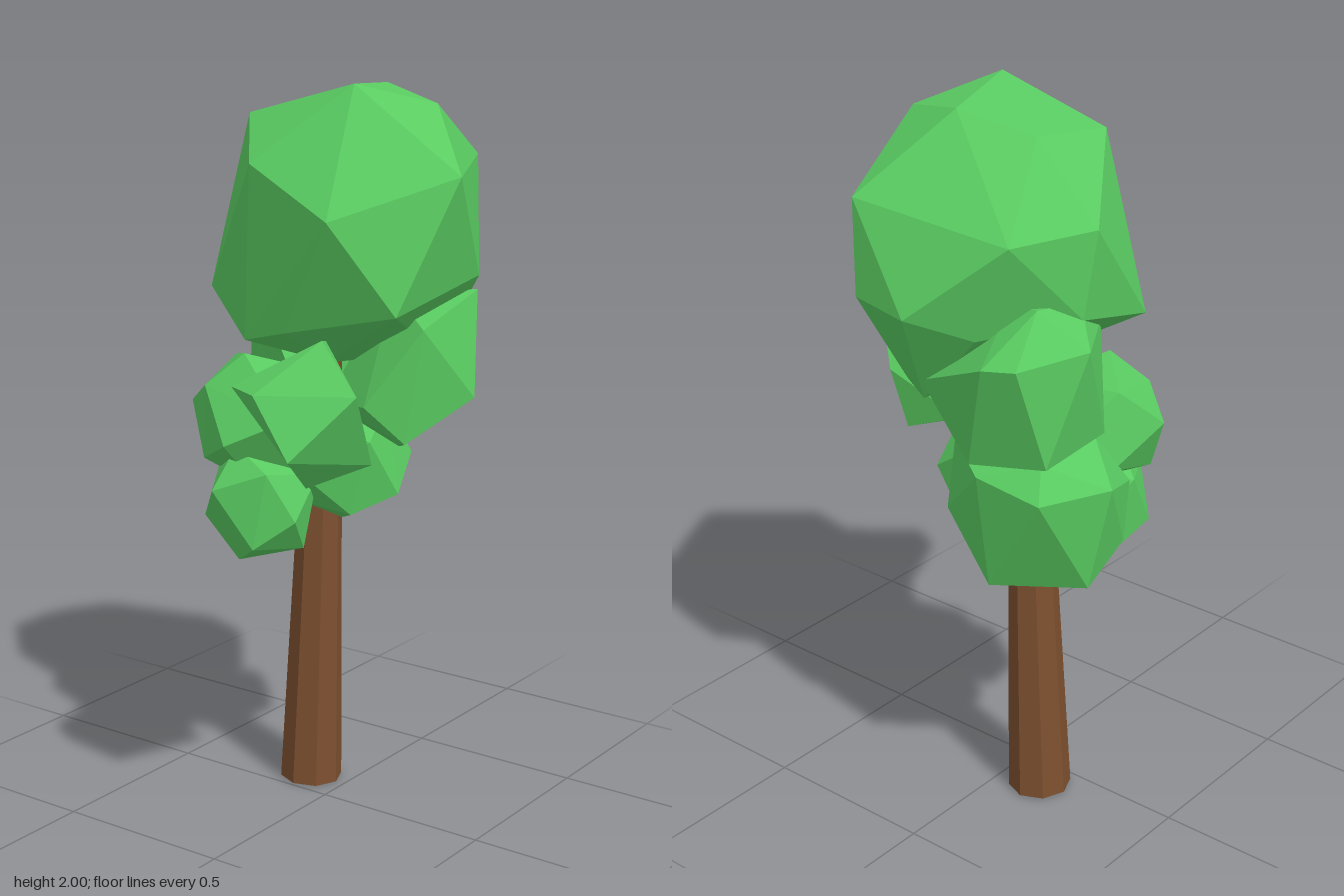
import * as THREE from 'three';
import { ConvexGeometry } from 'three/addons/geometries/ConvexGeometry.js';

const leafMat = new THREE.MeshStandardMaterial({ color: 0x59cb61, flatShading: true });
const barkMat = new THREE.MeshStandardMaterial({ color: 0x7d5030, flatShading: true });

// Corners of the large crown, from the top ring down
const crown = [
  [-0.06, 1.91, -0.2], [0.165, 1.93, -0.16], [0.23, 1.98, 0.04], [-0.055, 2, 0.13], [0.165, 1.94, 0.24],
  [-0.22, 1.8, -0.08], [-0.275, 1.68, 0.2], [0, 1.78, 0.42], [0.45, 1.78, 0.19], [0.37, 1.72, -0.24],
  [0.15, 1.73, -0.34], [-0.08, 1.44, -0.32], [0.5, 1.52, -0.01], [0.47, 1.53, 0.17], [0.19, 1.5, 0.36],
  [-0.17, 1.44, 0.34], [-0.21, 1.37, 0.02], [0.38, 1.46, -0.14], [0.18, 1.5, -0.32],
  [0.36, 1.25, 0.05], [0.29, 1.25, 0.17], [-0.18, 1.33, -0.13], [-0.05, 1.27, 0.05],
];

// Corners of the clump below the front of the crown
const frontLeaves = [
  [0.08, 1.2, 0.42], [0.2, 1.46, 0.35], [-0.09, 1.4, 0.37], [-0.18, 1.2, 0.25], [-0.11, 1.1, 0.33],
  [0.06, 1.04, 0.2], [0.26, 1.09, 0.2], [0.28, 1.25, 0.24], [0.25, 1.16, 0.03], [0, 1.15, 0], [0.1, 1.45, 0.15],
];

// Corners of the clump at the end of the branch
const branchLeaves = [
  [-0.34, 1.4, 0.235], [-0.505, 1.28, 0.145], [-0.34, 1.27, 0.34], [-0.455, 1.28, 0.04], [-0.26, 1.38, 0.19],
  [-0.285, 1.25, -0.025], [-0.17, 1.29, 0.13], [-0.2, 1.06, 0.29], [-0.49, 1.12, 0.24], [-0.36, 1.02, 0.2],
  [-0.25, 1.06, 0.1],
];

// Corners of the two clumps at the back
const backLeaves = [
  [0.235, 1.45, -0.385], [0.43, 1.44, -0.31], [0.455, 1.43, -0.22], [0.41, 1.14, -0.14], [0.38, 1.31, 0.04],
  [0.3, 1.15, 0], [0.35, 1.16, -0.34], [0.1, 1.17, -0.33], [0.3, 1.55, -0.27], [0.25, 1.53, -0.15],
  [0, 1.22, -0.12], [0.03, 1.44, -0.26], [0.14, 1.53, -0.28],
];
const lowerBackLeaves = [
  [0.19, 1.07, -0.425], [0.38, 1.07, -0.34], [0.395, 1.1, -0.15], [0.32, 1.15, -0.3], [0.22, 0.785, -0.375],
  [0.36, 0.78, -0.16], [0.17, 0.73, -0.17], [0.3, 0.92, 0.03], [0.3, 1.13, 0], [0.05, 0.85, -0.36],
  [0, 1, -0.34], [0.05, 1.1, -0.1], [0.1, 1.15, -0.3], [0.02, 0.85, -0.1],
];

// Small seeded generator, values in -1..1
function seeded(seed) {
  let s = seed * 7919 + 17;
  return () => {
    s = (s * 16807) % 2147483647;
    return (s / 2147483647) * 2 - 1;
  };
}

// Rounded clump: hull of jittered points spread over a sphere, fitted to a box
function clumpGeometry(seed, min, max) {
  const rand = seeded(seed);
  const count = 14;
  const points = [];
  for (let i = 0; i < count; i++) {
    const y = 1 - (2 * i + 1) / count;
    const r = Math.sqrt(1 - y * y);
    const a = i * 2.39996 + seed * 1.3;
    const p = new THREE.Vector3(Math.cos(a) * r, y, Math.sin(a) * r);
    p.add(new THREE.Vector3(rand(), rand(), rand()).multiplyScalar(0.16)).normalize();
    points.push(p);
  }
  const from = new THREE.Box3().setFromPoints(points);
  const size = from.getSize(new THREE.Vector3());
  const lo = new THREE.Vector3(...min);
  const span = new THREE.Vector3(...max).sub(lo);
  points.forEach(p => p.sub(from.min).divide(size).multiply(span).add(lo));
  return new ConvexGeometry(points);
}

// Tapered limb between two points
function limb(name, start, end, r0, r1, sides) {
  const a = new THREE.Vector3(...start), b = new THREE.Vector3(...end);
  const dir = b.clone().sub(a);
  const mesh = new THREE.Mesh(new THREE.CylinderGeometry(r1, r0, dir.length(), sides), barkMat);
  mesh.position.copy(a).add(b).multiplyScalar(0.5);
  mesh.quaternion.setFromUnitVectors(new THREE.Vector3(0, 1, 0), dir.normalize());
  mesh.name = name;
  return mesh;
}

export function createModel() {
  const tree = new THREE.Group();
  tree.name = 'tree';
  const addLeaves = (name, geometry) => {
    const mesh = new THREE.Mesh(geometry, leafMat);
    mesh.name = name;
    tree.add(mesh);
  };

  // Trunk and side branch
  tree.add(limb('trunk', [0.092, 0.005, -0.115], [0.1, 1.25, -0.075], 0.088, 0.05, 8));
  tree.add(limb('branch', [0.08, 0.95, -0.08], [-0.34, 1.14, 0.14], 0.035, 0.025, 6));

  // Crown and large clumps
  Object.entries({ crown, frontLeaves, branchLeaves, backLeaves, lowerBackLeaves }).forEach(([name, corners]) =>
    addLeaves(name, new ConvexGeometry(corners.map(p => new THREE.Vector3(...p)))));

  // Small clumps: name, lower corner, upper corner
  [
    ['rightMiddleLeaves', [-0.225, 0.91, -0.36], [0.11, 1.28, -0.02]],
    ['rightLowerLeaves', [-0.245, 0.7, -0.3], [0.07, 1.03, 0.01]],
    ['lowerFrontLeaves', [-0.09, 0.79, -0.16], [0.24, 1.15, 0.185]],
  ].forEach(([name, min, max], i) => addLeaves(name, clumpGeometry(i + 2, min, max)));

  return tree;
}
